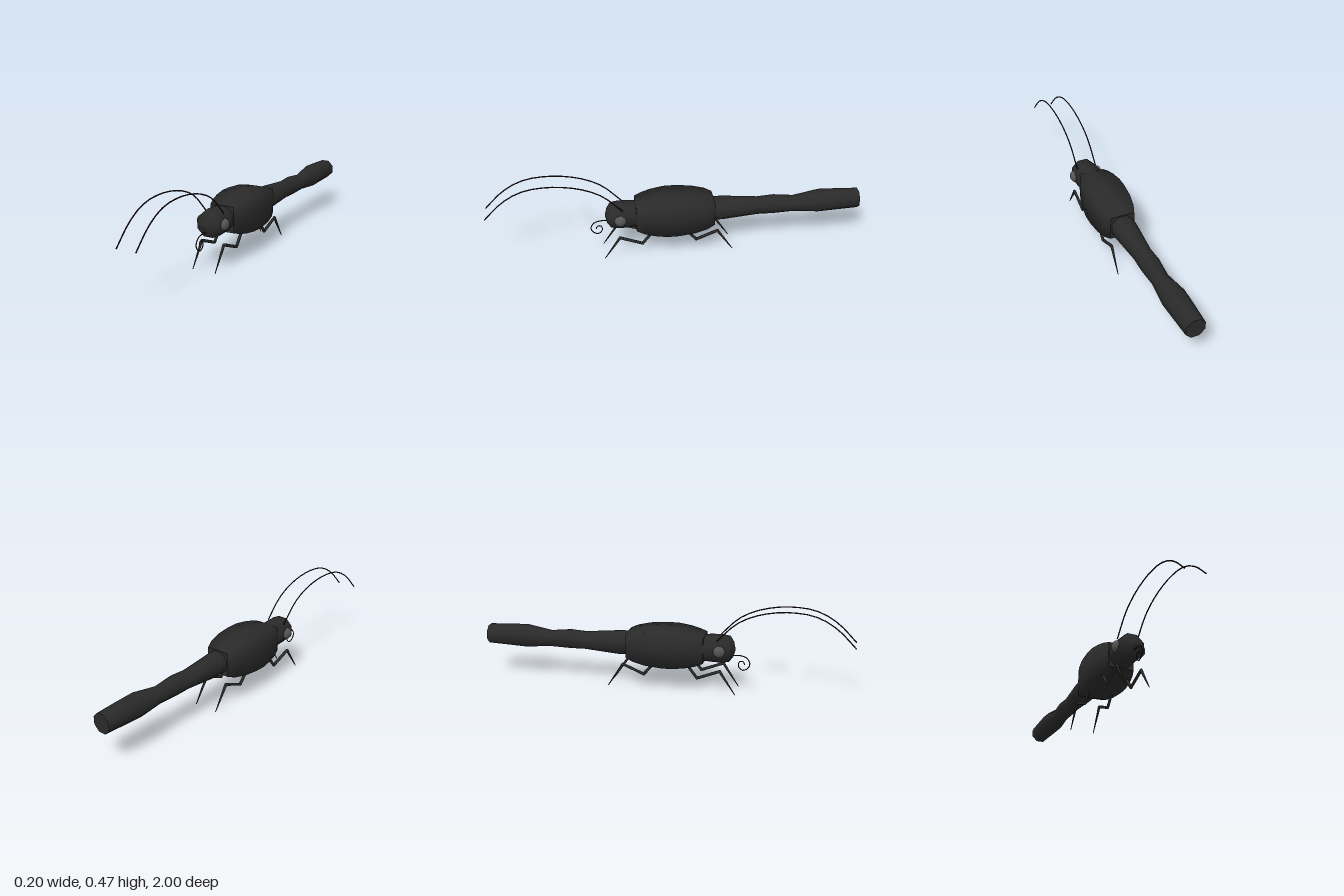
import * as THREE from 'three';

const dark = new THREE.MeshStandardMaterial({ color: 0x2a2a2a });
const grey = new THREE.MeshStandardMaterial({ color: 0x555555 });
const feeler = new THREE.MeshStandardMaterial({ color: 0x24161a });

// unit cross-sections, counter-clockwise seen from the front
const square = [[1, 0], [0.97, 0.97], [0, 1], [-0.97, 0.97], [-1, 0], [-0.97, -0.97], [0, -1], [0.97, -0.97]];
const octagon = Array.from({ length: 8 }, (_, i) => {
  const a = (i + 0.5) * Math.PI / 4, r = 1 / Math.cos(Math.PI / 8);
  return [r * Math.cos(a), r * Math.sin(a)];
});

// skin of one section scaled along z; rows are [z, radius, centre y], back to front
function loft(name, section, rows) {
  const n = section.length, pos = [], idx = [];
  const ring = ([z, r, y]) => section.forEach(([sx, sy]) => pos.push(sx * r, y + sy * r, z));
  rows.forEach(ring);
  for (let i = 0; i < rows.length - 1; i++) {
    for (let j = 0; j < n; j++) {
      const k = (j + 1) % n, a = i * n, b = a + n;
      idx.push(a + j, a + k, b + j, a + k, b + k, b + j);
    }
  }
  // end caps with their own corners keep a sharp rim
  [rows[0], rows[rows.length - 1]].forEach((row, end) => {
    const c = pos.length / 3;
    pos.push(0, row[2], row[0]);
    ring(row);
    for (let j = 0; j < n; j++) {
      const p = c + 1 + j, q = c + 1 + (j + 1) % n;
      if (end) idx.push(c, p, q); else idx.push(c, q, p);
    }
  });
  const g = new THREE.BufferGeometry();
  g.setAttribute('position', new THREE.Float32BufferAttribute(pos, 3));
  g.setIndex(idx);
  g.computeVertexNormals();
  const mesh = new THREE.Mesh(g, dark);
  mesh.name = name;
  return mesh;
}

// thin tube through [z, y] points in the plane x
function wire(name, x, points, radius, segments) {
  const curve = new THREE.CatmullRomCurve3(points.map(([z, y]) => new THREE.Vector3(x, y, z)));
  const mesh = new THREE.Mesh(new THREE.TubeGeometry(curve, segments, radius, 5), feeler);
  mesh.name = name;
  return mesh;
}

// bent leg of tapered rods; points are [z, y, radius]
function leg(name, x, points) {
  const group = new THREE.Group();
  group.name = name;
  for (let i = 0; i < points.length - 1; i++) {
    const [z0, y0, r0] = points[i], [z1, y1, r1] = points[i + 1];
    const a = new THREE.Vector3(x, y0, z0), b = new THREE.Vector3(x, y1, z1);
    const rod = new THREE.Mesh(new THREE.CylinderGeometry(r1, r0, a.distanceTo(b), 8), dark);
    rod.position.copy(a).lerp(b, 0.5);
    rod.quaternion.setFromUnitVectors(new THREE.Vector3(0, 1, 0), b.clone().sub(a).normalize());
    rod.name = 'legSegment';
    group.add(rod);
    if (i > 0) {
      const joint = new THREE.Mesh(new THREE.SphereGeometry(r0, 8, 6), dark);
      joint.position.copy(a);
      joint.name = 'legJoint';
      group.add(joint);
    }
  }
  return group;
}

export function createModel() {
  const model = new THREE.Group();
  model.name = 'insect';

  // body
  model.add(loft('thorax', square, [
    [-0.2, 0.068, 0.233], [-0.16, 0.083, 0.233], [-0.09, 0.096, 0.233], [0, 0.102, 0.233],
    [0.06, 0.102, 0.233], [0.13, 0.094, 0.233], [0.18, 0.084, 0.233], [0.22, 0.071, 0.234]]));
  model.add(loft('abdomen', octagon, [
    [-1, 0.05, 0.231], [-0.9, 0.054, 0.232], [-0.78, 0.058, 0.232], [-0.64, 0.041, 0.226],
    [-0.53, 0.048, 0.231], [-0.44, 0.045, 0.229], [-0.25, 0.06, 0.231], [-0.18, 0.06, 0.233]]));
  model.add(loft('head', octagon, [
    [0.19, 0.064, 0.235], [0.26, 0.069, 0.236], [0.31, 0.07, 0.236], [0.352, 0.064, 0.236],
    [0.372, 0.038, 0.235], [0.382, 0.004, 0.235]]));

  // curled feeding tube
  model.add(wire('proboscis', 0, [
    [0.36, 0.2], [0.4, 0.203], [0.44, 0.193], [0.46, 0.16], [0.445, 0.13],
    [0.42, 0.122], [0.4, 0.143], [0.405, 0.168], [0.425, 0.17], [0.432, 0.153]], 0.003, 28));

  for (const side of [1, -1]) {
    const label = side > 0 ? 'left' : 'right';

    const eye = new THREE.Mesh(new THREE.SphereGeometry(0.032, 16, 12), grey);
    eye.scale.x = 0.8;
    eye.position.set(side * 0.066, 0.237, 0.304);
    eye.name = label + 'Eye';
    model.add(eye);

    model.add(wire(label + 'Antenna', side * 0.054, [
      [0.29, 0.29], [0.39, 0.39], [0.49, 0.44], [0.6, 0.465], [0.68, 0.469],
      [0.76, 0.462], [0.83, 0.44], [0.91, 0.39], [1, 0.3]], 0.0035, 16));

    model.add(leg(label + 'FrontLeg', side * 0.067, [
      [0.135, 0.155, 0.008], [0.19, 0.083, 0.008], [0.31, 0.13, 0.008], [0.395, 0.002, 0.002]]));
    model.add(leg(label + 'HindLeg', side * 0.067, [
      [-0.04, 0.155, 0.008], [-0.1, 0.083, 0.008], [-0.215, 0.13, 0.008], [-0.3, 0.002, 0.002]]));
  }
  return model;
}
